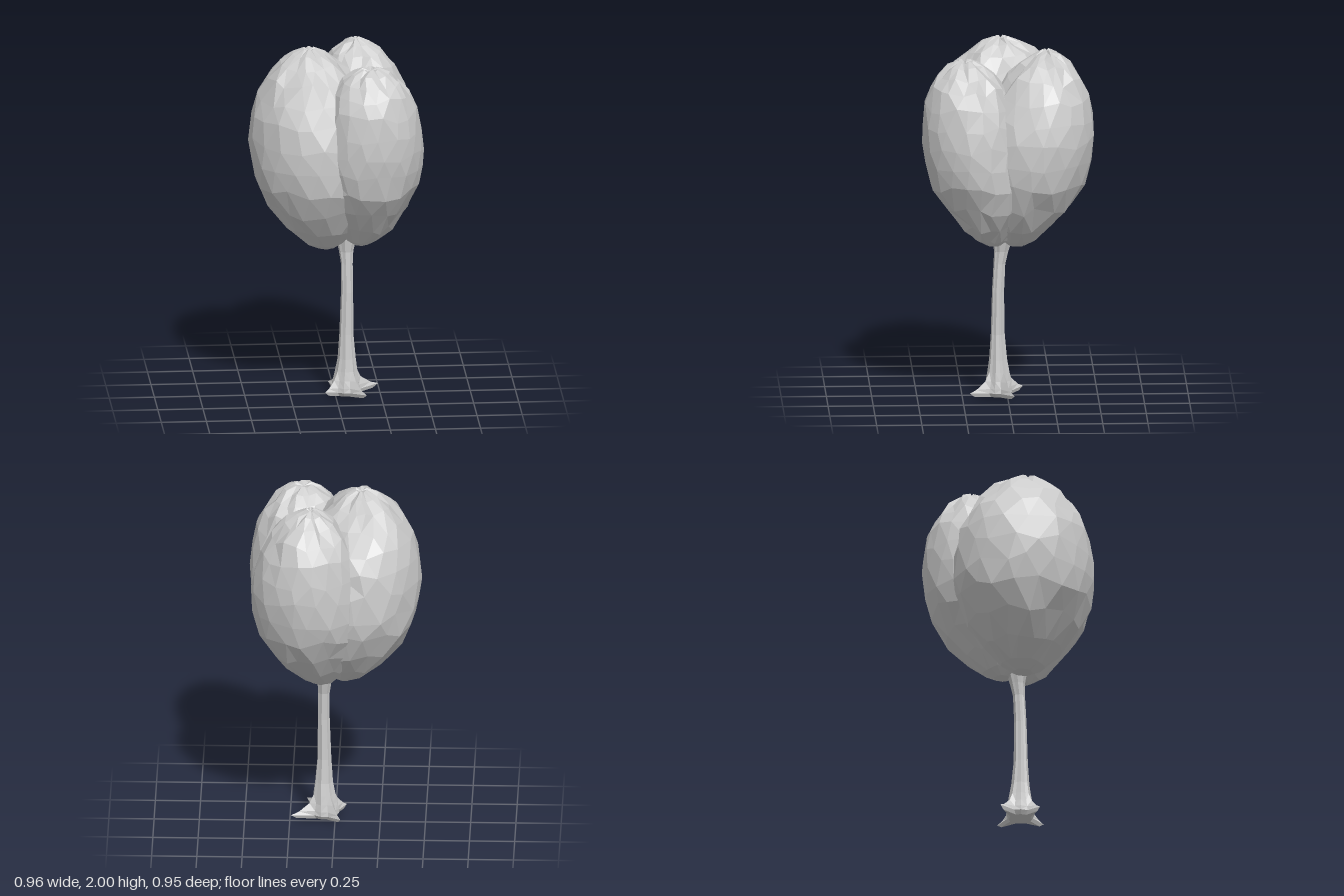
import * as THREE from 'three';

const material = new THREE.MeshStandardMaterial({ color: 0xcccccc, flatShading: true });

// Small seeded generator, returns -0.5..0.5
function seeded(seed) {
  let s = seed;
  return () => {
    s = (s * 16807) % 2147483647;
    return s / 2147483647 - 0.5;
  };
}

// Skin closed rings of equal point count (bottom to top) and cap both ends
function loft(name, rings, bottom, top) {
  const n = rings[0].length;
  const points = [...rings.flat(), bottom, top];
  const index = [];
  const id = (i, j) => i * n + (j % n);
  const last = rings.length - 1;
  for (let j = 0; j < n; j++) {
    for (let i = 0; i < last; i++) {
      const a = id(i, j), b = id(i, j + 1), c = id(i + 1, j), d = id(i + 1, j + 1);
      // The shorter diagonal keeps the facets even
      if (points[b].distanceTo(points[c]) < points[a].distanceTo(points[d])) index.push(a, c, b, b, c, d);
      else index.push(a, c, d, a, d, b);
    }
    index.push(points.length - 2, id(0, j), id(0, j + 1));
    index.push(points.length - 1, id(last, j + 1), id(last, j));
  }
  const geometry = new THREE.BufferGeometry().setFromPoints(points);
  geometry.setIndex(index);
  geometry.computeVertexNormals();
  const mesh = new THREE.Mesh(geometry, material);
  mesh.name = name;
  return mesh;
}

// Height fraction and relative radius of a foliage lobe
const lobeProfile = [
  [0, 0.14], [0.03, 0.31], [0.11, 0.56], [0.22, 0.8], [0.34, 0.97], [0.45, 1.01], [0.56, 1],
  [0.67, 0.95], [0.77, 0.86], [0.86, 0.72], [0.93, 0.54], [0.975, 0.34], [1, 0.14],
];

// Foliage lobe: centres [x, z] at bottom, middle and top, radii at the middle,
// a crown exponent (higher is slimmer) and a swelling towards one angle
function lobe(name, { y0, y1, low, mid, high, rx, rz, crown, swellAngle, swell, seed }) {
  const random = seeded(seed);
  const n = 18;
  const centre = (t, k) =>
    low[k] * (1 - t) * (1 - 2 * t) + mid[k] * 4 * t * (1 - t) + high[k] * t * (2 * t - 1);
  const rings = lobeProfile.map(([t, r], i) => Array.from({ length: n }, (_, j) => {
    const a = ((j + (i % 2) * 0.4 + random() * 0.45) / n) * Math.PI * 2;
    // Puckered creases gather towards both ends
    const gather = Math.max(0, (t - 0.85) / 0.15, (0.1 - t) / 0.1);
    const crease = j % 3 === 0 ? gather * (0.1 + random() * 0.1) : 0;
    const fade = THREE.MathUtils.clamp((0.85 - t) / 0.3, 0, 1);
    const bulge = swell * fade * Math.max(0, Math.cos(a - swellAngle)) ** 3;
    const s = (t > 0.6 ? r ** crown : r) * (1 - crease) * (1 + random() * 0.02 + bulge);
    const wobble = random() * 0.05 * Math.min(1, 8 * t * (1 - t));
    return new THREE.Vector3(
      centre(t, 0) + Math.cos(a) * rx * s,
      y0 + (y1 - y0) * t + wobble - (t > 0.8 ? crease * 0.15 : 0),
      centre(t, 1) + Math.sin(a) * rz * s);
  }));
  return loft(name, rings,
    new THREE.Vector3(low[0], y0 + 0.01, low[1]),
    new THREE.Vector3(high[0], y1 - 0.015, high[1]));
}

// Trunk flaring into pointed roots
function trunk() {
  const n = 16;
  const base = [0.055, 0.05];
  const roots = [[0.24, -0.03], [0.16, 0.21], [-0.06, 0.13], [-0.03, -0.085]].map(([x, z]) => ({
    angle: Math.atan2(z - base[1], x - base[0]),
    reach: Math.hypot(x - base[0], z - base[1]),
  })).sort((p, q) => p.angle - q.angle);
  // Height, centre x, centre z, core radius, root strength
  const rows = [
    [0.012, 0.055, 0.05, 0.06, 0.75], [0.035, 0.055, 0.05, 0.075, 1], [0.06, 0.055, 0.05, 0.074, 0.62],
    [0.1, 0.057, 0.05, 0.068, 0.16], [0.15, 0.06, 0.05, 0.06, 0], [0.22, 0.062, 0.052, 0.049, 0],
    [0.36, 0.06, 0.054, 0.038, 0], [0.6, 0.064, 0.053, 0.033, 0], [0.76, 0.063, 0.045, 0.032, 0],
    [0.83, 0.06, 0.035, 0.039, 0], [0.9, 0.06, 0.03, 0.055, 0], [0.98, 0.06, 0.03, 0.06, 0],
  ];
  // Every fourth spoke follows a root, the others are spread between
  const rings = rows.map(([y, cx, cz, core, strength]) => Array.from({ length: n }, (_, j) => {
    const root = roots[Math.floor(j / 4)];
    const next = roots[(Math.floor(j / 4) + 1) % 4];
    const span = (next.angle - root.angle + Math.PI * 2) % (Math.PI * 2);
    const a = root.angle + span * [0, 0.2, 0.5, 0.8][j % 4];
    const near = j % 4 === 3 ? next : root;
    const weight = [1, 0.1, 0, 0.1][j % 4];
    const ridge = j % 2 ? 0.93 : 1.04;
    const r = core * ridge + Math.max(0, near.reach - core) * weight * strength;
    // Root tips lift a little off the ground
    const lift = y < 0.05 && j % 4 === 0 ? 0.01 : 0;
    return new THREE.Vector3(cx + Math.cos(a) * r, y + lift, cz + Math.sin(a) * r);
  }));
  return loft('trunk', rings, new THREE.Vector3(0.055, 0, 0.05), new THREE.Vector3(0.06, 1, 0.03));
}

export function createModel() {
  const model = new THREE.Group();
  model.name = 'tree';
  model.add(
    trunk(),
    lobe('foliageRight', {
      y0: 0.855, y1: 2, low: [-0.055, 0.035], mid: [-0.13, 0.018], high: [-0.145, 0.03],
      rx: 0.345, rz: 0.39, crown: 1.2, swellAngle: 0.75, swell: 0.08, seed: 11,
    }),
    lobe('foliageBack', {
      y0: 0.865, y1: 1.985, low: [0.075, -0.05], mid: [0.14, -0.152], high: [0.13, -0.215],
      rx: 0.315, rz: 0.315, crown: 1.3, swellAngle: 2.9, swell: 0.03, seed: 29,
    }),
    lobe('foliageFront', {
      y0: 0.88, y1: 1.935, low: [0.14, 0.08], mid: [0.19, 0.187], high: [0.18, 0.24],
      rx: 0.284, rz: 0.277, crown: 0.9, swellAngle: 2.4, swell: 0.06, seed: 47,
    }),
  );
  return model;
}
